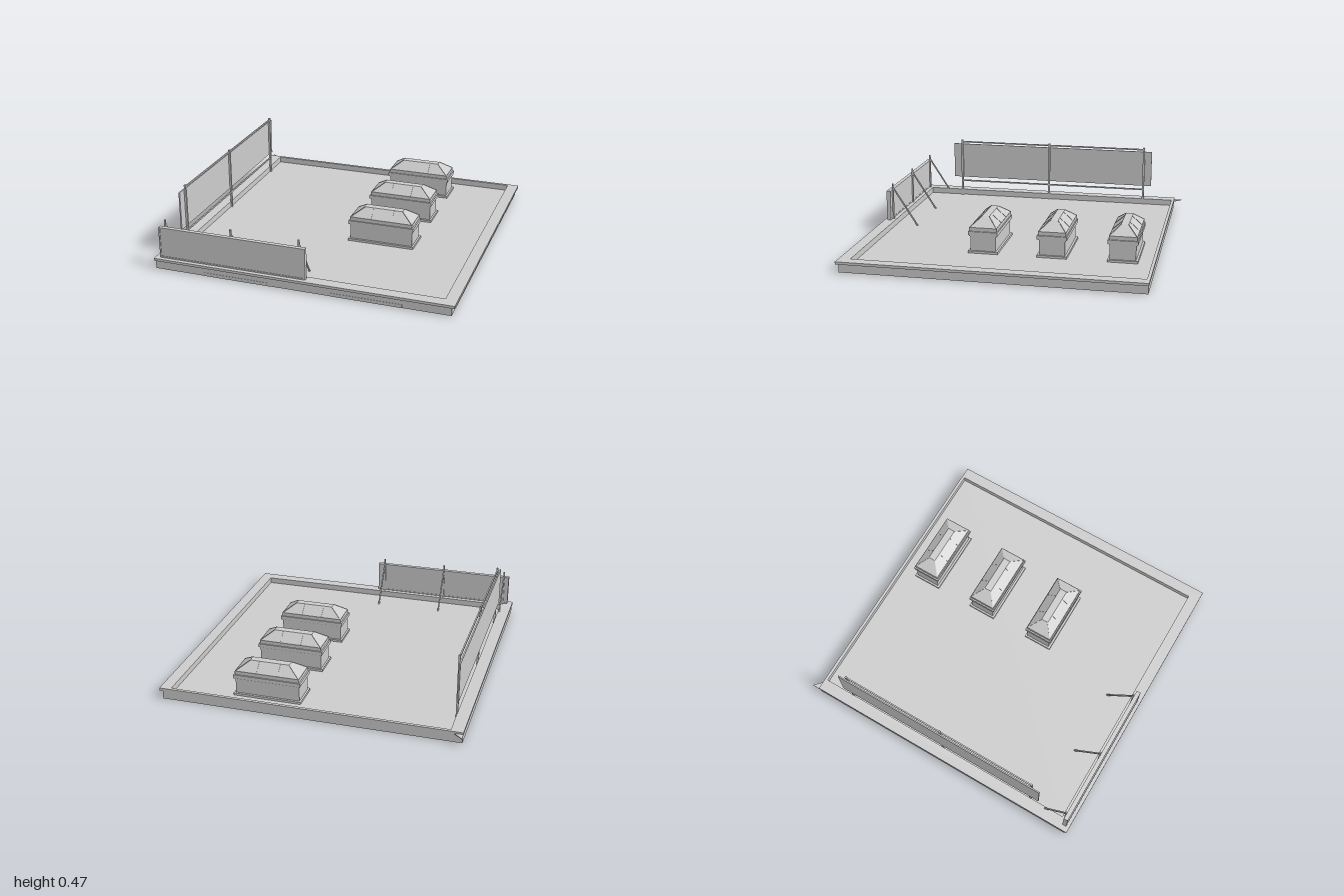
import * as THREE from 'three';

const mat = new THREE.MeshStandardMaterial({ color: 0xcccccc, flatShading: true, side: THREE.DoubleSide });
const DECK = 0.035;

function add(parent, name, geo) {
  const m = new THREE.Mesh(geo, mat);
  m.name = name;
  parent.add(m);
  return m;
}

// box given by its min and max on each axis
function box(parent, name, x0, x1, y0, y1, z0, z1) {
  const m = add(parent, name, new THREE.BoxGeometry(x1 - x0, y1 - y0, z1 - z0));
  m.position.set((x0 + x1) / 2, (y0 + y1) / 2, (z0 + z1) / 2);
  return m;
}

// rectangular ring lying flat: outer and inner are [x0, x1, z0, z1]
function ring(parent, name, outer, inner, y0, y1) {
  const pts = ([x0, x1, z0, z1]) => [[x0, z0], [x1, z0], [x1, z1], [x0, z1]].map(([x, z]) => new THREE.Vector2(x, -z));
  const shape = new THREE.Shape(pts(outer));
  shape.holes.push(new THREE.Path(pts(inner)));
  const geo = new THREE.ExtrudeGeometry(shape, { depth: y1 - y0, bevelEnabled: false });
  geo.rotateX(-Math.PI / 2).translate(0, y0, 0);
  return add(parent, name, geo);
}

// straight square bar between two points
function bar(parent, name, a, b, w) {
  const p = new THREE.Vector3(...a), q = new THREE.Vector3(...b);
  const m = add(parent, name, new THREE.BoxGeometry(w, w, p.distanceTo(q)));
  m.position.copy(p).add(q).multiplyScalar(0.5);
  m.lookAt(q);
  return m;
}

// hipped block: a box whose top is drawn in to a smaller rectangle
function hip(parent, name, hx, hz, tx, tz, y0, y1) {
  const geo = new THREE.BoxGeometry(2 * hx, y1 - y0, 2 * hz);
  const p = geo.attributes.position;
  for (let i = 0; i < p.count; i++) {
    if (p.getY(i) > 0) {
      p.setX(i, Math.sign(p.getX(i)) * tx);
      p.setZ(i, Math.sign(p.getZ(i)) * tz);
    }
  }
  geo.computeVertexNormals();
  const m = add(parent, name, geo);
  m.position.y = (y0 + y1) / 2;
  return m;
}

function roof() {
  const g = new THREE.Group();
  g.name = 'roof';
  box(g, 'roofDeck', -0.905, 0.905, DECK - 0.005, DECK, -0.93, 0.925);
  // hanging outer fascia, flat coping and inner upstand
  ring(g, 'fascia', [-0.98, 0.96, -0.945, 0.985], [-0.97, 0.95, -0.937, 0.975], 0, 0.06);
  ring(g, 'coping', [-0.985, 0.98, -0.95, 1.0], [-0.905, 0.905, -0.93, 0.925], 0.058, 0.075);
  ring(g, 'upstand', [-0.912, 0.912, -0.937, 0.932], [-0.905, 0.905, -0.93, 0.925], DECK - 0.005, 0.072);
  // drain panels low on the front fascia
  for (const x of [-0.425, 0.43]) box(g, 'drainPanel', x - 0.225, x + 0.225, 0, 0.022, 0.975, 0.987);
  // pointed coping end at the back corner
  const tip = new THREE.Shape([[-0.985, 0.95], [-0.93, 0.95], [-0.985, 1.0]].map(([x, y]) => new THREE.Vector2(x, y)));
  const geo = new THREE.ExtrudeGeometry(tip, { depth: 0.005, bevelEnabled: false });
  add(g, 'copingTip', geo.rotateX(-Math.PI / 2).translate(0, 0.058, 0));
  return g;
}

function skylight(z) {
  const g = new THREE.Group();
  g.name = 'skylight';
  const slab = (name, hx, hz, y0, y1) => box(g, name, -hx, hx, y0, y1, -hz, hz);
  slab('skirt', 0.224, 0.098, DECK - 0.007, 0.05);
  slab('curb', 0.212, 0.084, 0.05, 0.15);
  slab('lowerFrame', 0.215, 0.09, 0.148, 0.158);
  slab('rimFrame', 0.222, 0.097, 0.155, 0.18);
  slab('upperFrame', 0.213, 0.09, 0.18, 0.205);
  hip(g, 'glazing', 0.211, 0.089, 0.13, 0.024, 0.205, 0.262);
  // glazing bars down the long slopes
  for (const x of [-0.07, 0.07]) {
    for (const s of [-1, 1]) bar(g, 'glazingBar', [x, 0.205, s * 0.089], [x, 0.262, s * 0.024], 0.004);
  }
  // hip bars
  for (const sx of [-1, 1]) {
    for (const s of [-1, 1]) bar(g, 'hipBar', [sx * 0.211, 0.205, s * 0.089], [sx * 0.13, 0.262, s * 0.024], 0.004);
  }
  g.position.set(0.295, 0, z);
  return g;
}

// tall screen along the side, panel outside its posts
function sideScreen() {
  const g = new THREE.Group();
  g.name = 'sideScreen';
  box(g, 'screenPanel', -0.917, -0.908, 0.175, 0.435, -0.775, 0.745);
  for (const z of [-0.717, 0, 0.68]) box(g, 'screenPost', -0.907, -0.894, DECK - 0.005, 0.467, z - 0.007, z + 0.007);
  for (const y of [0.148, 0.453]) box(g, 'screenRail', -0.905, -0.896, y - 0.005, y + 0.005, -0.717, 0.68);
  return g;
}

// low sign board along the front, with raking braces behind
function frontBoard() {
  const g = new THREE.Group();
  g.name = 'frontBoard';
  box(g, 'boardPanel', -0.945, 0.032, 0.082, 0.282, 0.952, 0.974);
  const b = [-0.95, 0.037, 0.078, 0.286];
  for (const y of [b[2], b[3] - 0.009]) box(g, 'boardFrame', b[0], b[1], y, y + 0.009, 0.95, 0.978);
  for (const x of [b[0], b[1] - 0.009]) box(g, 'boardFrame', x, x + 0.009, b[2], b[3], 0.95, 0.978);
  for (const x of [-0.915, -0.465, -0.012]) {
    box(g, 'boardPost', x - 0.005, x + 0.005, 0.073, 0.33, 0.942, 0.952);
    bar(g, 'boardBrace', [x, 0.3, 0.945], [x, DECK - 0.006, 0.77], 0.009);
  }
  return g;
}

export function createModel() {
  const model = new THREE.Group();
  model.name = 'rooftop';
  model.add(roof(), sideScreen(), frontBoard());
  for (const z of [-0.737, -0.283, 0.17]) model.add(skylight(z));
  return model;
}
